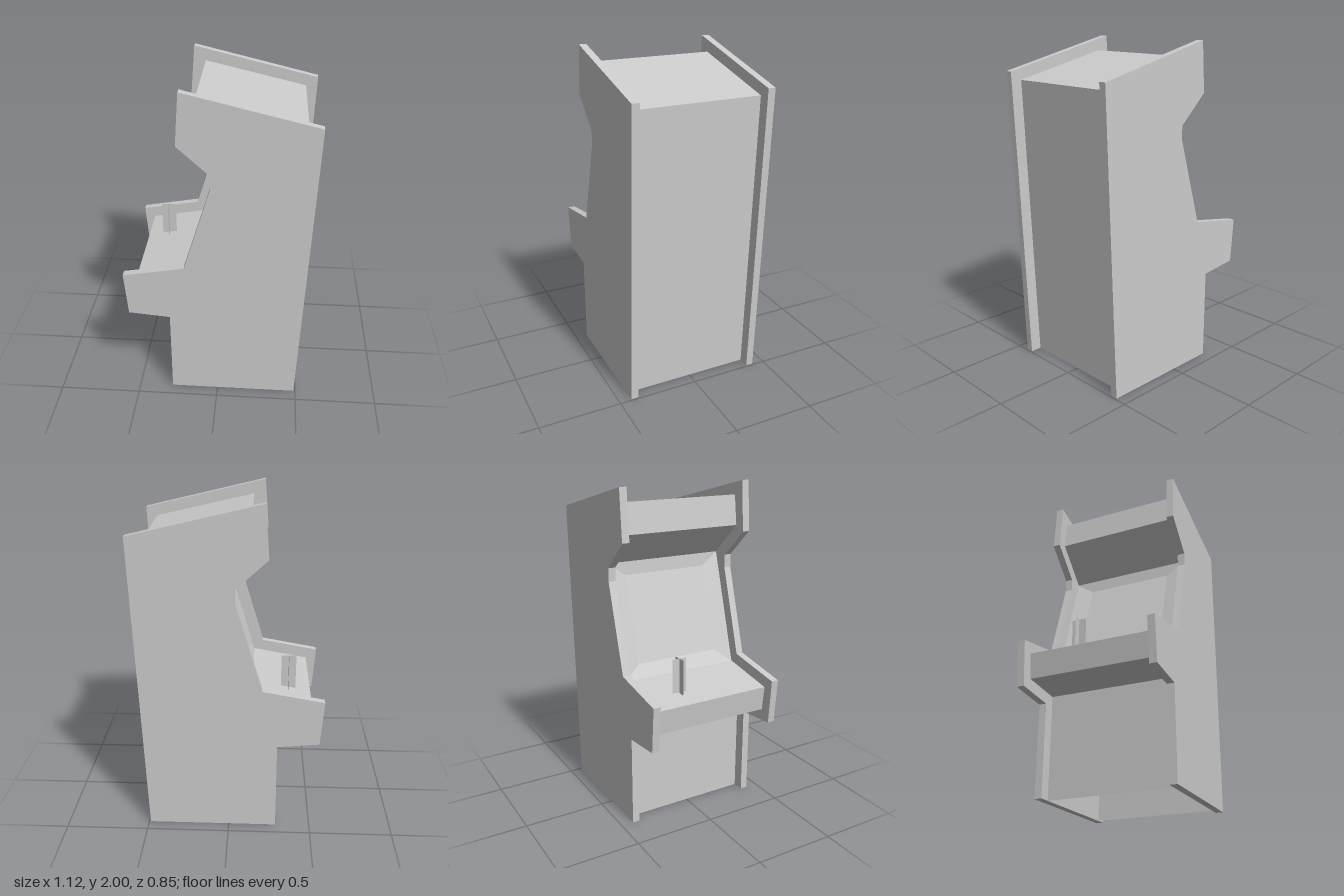
import * as THREE from 'three';

const HALF = 0.38;   // inner half width between the side panels
const THICK = 0.045; // side panel thickness

export function createModel() {
  const group = new THREE.Group();
  const solid = new THREE.MeshStandardMaterial({ color: 0xcccccc });
  const thin = new THREE.MeshStandardMaterial({ color: 0xcccccc, side: THREE.DoubleSide });

  const add = (name, geometry, material = thin) => {
    const mesh = new THREE.Mesh(geometry, material);
    mesh.name = name;
    group.add(mesh);
    return mesh;
  };

  // four corners, counter-clockwise seen from outside
  const quads = (list) => {
    const p = [];
    for (const [a, b, c, d] of list) p.push(...a, ...b, ...c, ...a, ...c, ...d);
    const g = new THREE.BufferGeometry();
    g.setAttribute('position', new THREE.Float32BufferAttribute(p, 3));
    g.computeVertexNormals();
    return g;
  };

  // edge between two profile points, spanned across z
  const span = ([x0, y0], [x1, y1], w = HALF) =>
    [[x0, y0, w], [x1, y1, w], [x1, y1, -w], [x0, y0, -w]];

  // side panels
  const outline = [
    [-0.29, 0], [0.49, 0], [0.56, 1.82], [-0.197, 2], [-0.22, 1.7], [-0.035, 1.53],
    [-0.035, 1.45], [-0.195, 0.92], [-0.56, 0.855], [-0.54, 0.58], [-0.29, 0.557],
  ].map(([x, y]) => new THREE.Vector2(x, y));
  const panel = new THREE.ExtrudeGeometry(new THREE.Shape(outline), { depth: THICK, bevelEnabled: false });
  add('leftSidePanel', panel, solid).position.z = HALF;
  add('rightSidePanel', panel, solid).position.z = -HALF - THICK;

  // cabinet walls, set in from the side panels and open at the bottom
  const backLow = [0.42, 0], backTop = [0.489, 1.767];
  const roofFront = [-0.127, 1.91], marqueeLow = [-0.15, 1.73];
  const screenTop = [0.063, 1.535], screenLow = [-0.14, 0.859];
  const deckFront = [-0.492, 0.796], deckLow = [-0.475, 0.645];
  const kickTop = [-0.22, 0.622], kickLow = [-0.22, 0];
  const walls = [
    ['backPanel', backLow, backTop],
    ['roof', backTop, roofFront],
    ['marquee', roofFront, marqueeLow],
    ['marqueeUnderside', marqueeLow, screenTop],
    ['controlPanel', screenLow, deckFront],
    ['controlPanelFront', deckFront, deckLow],
    ['controlPanelUnderside', deckLow, kickTop],
    ['kickPanel', kickTop, kickLow],
  ];
  for (const [name, a, b] of walls) add(name, quads([span(a, b)]));

  // sloping bezel around a slightly recessed screen
  const outer = span(screenTop, screenLow);
  const inner = span([0.057, 1.455], [-0.098, 0.94], 0.27);
  add('screenBezel', quads(outer.map((p, i) => {
    const j = (i + 1) % 4;
    return [p, outer[j], inner[j], inner[i]];
  })));
  add('screen', quads([inner]));

  // joystick made of two crossed blades
  for (const turn of [0, Math.PI / 2]) {
    const blade = add('joystick', new THREE.PlaneGeometry(0.09, 0.22));
    blade.position.set(-0.355, 0.92, -0.14);
    blade.rotation.y = turn;
  }

  return group;
}
